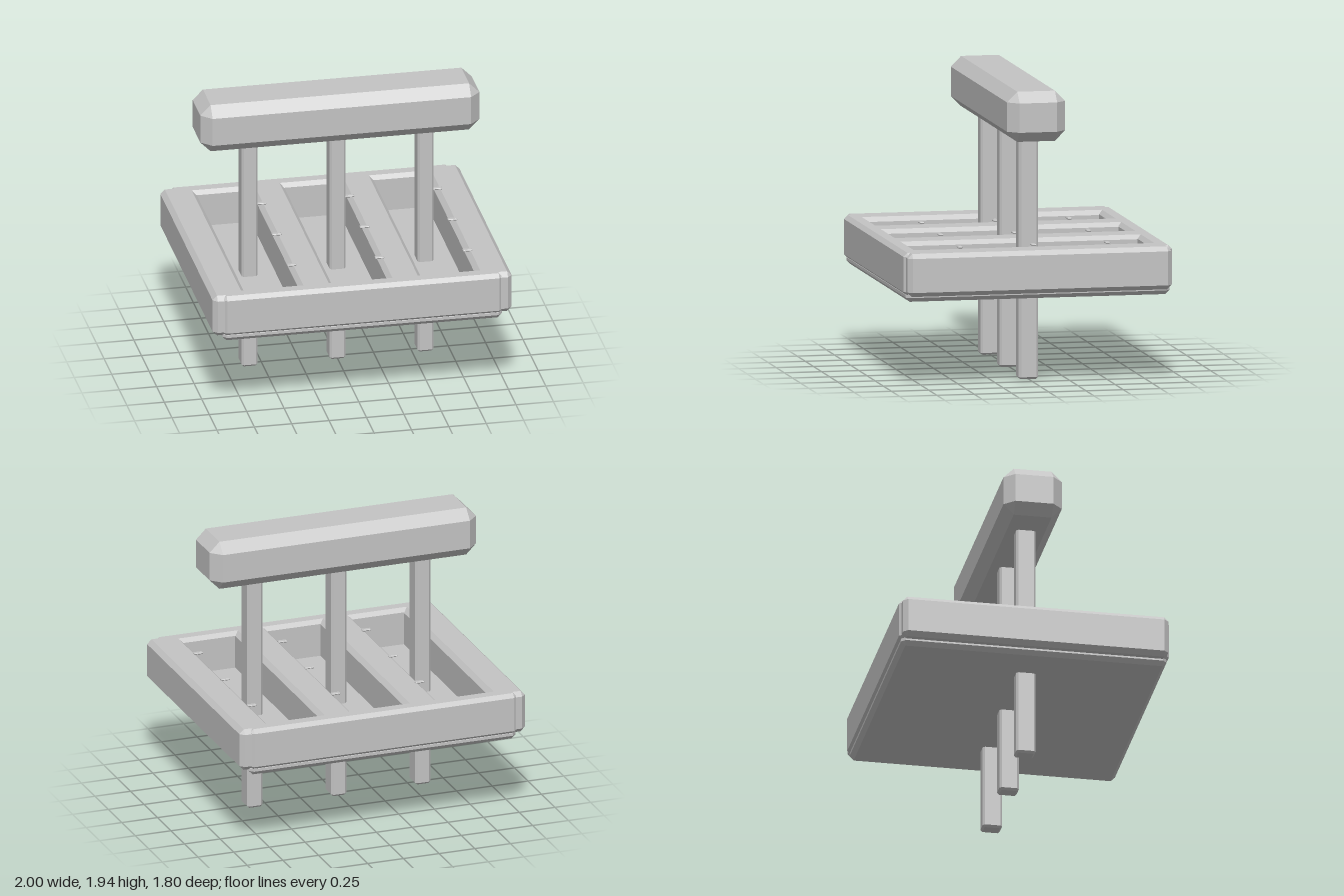
import * as THREE from 'three';
import { ConvexGeometry } from 'three/addons/geometries/ConvexGeometry.js';

const grey = new THREE.MeshStandardMaterial({ color: 0xc4c4c4 });
grey.name = 'plain grey';

// Box with every edge cut at 45 degrees, given as [min, max] on each axis
function chamferBox(name, [x0, x1], [y0, y1], [z0, z1], c) {
  const hx = (x1 - x0) / 2, hy = (y1 - y0) / 2, hz = (z1 - z0) / 2;
  const points = [];
  for (const sx of [-1, 1]) for (const sy of [-1, 1]) for (const sz of [-1, 1]) {
    points.push(
      new THREE.Vector3(sx * hx, sy * (hy - c), sz * (hz - c)),
      new THREE.Vector3(sx * (hx - c), sy * hy, sz * (hz - c)),
      new THREE.Vector3(sx * (hx - c), sy * (hy - c), sz * hz));
  }
  const mesh = new THREE.Mesh(new ConvexGeometry(points), grey);
  mesh.position.set((x0 + x1) / 2, (y0 + y1) / 2, (z0 + z1) / 2);
  mesh.name = name;
  return mesh;
}

export function createModel() {
  const model = new THREE.Group();
  model.name = 'leverPanel';
  const add = (...args) => model.add(chamferBox(...args));
  const height = [0.615, 0.9];

  // Tray floor
  add('floorPlate', [-0.935, 0.935], [0.575, 0.65], [-0.885, 0.885], 0.028);

  // Frame around the slots
  add('leftBar', [0.77, 1], height, [-0.885, 0.885], 0.03);
  add('rightBar', [-1, -0.77], height, [-0.885, 0.885], 0.03);
  add('frontBar', [-0.935, 0.935], height, [0.78, 0.9], 0.026);
  add('backBar', [-0.935, 0.935], height, [-0.9, -0.78], 0.026);

  // Dividers between the three slots
  for (const x of [-0.298, 0.298]) {
    add('divider', [x - 0.113, x + 0.113], height, [-0.86, 0.86], 0.028);
  }

  // Rods through the slots, with three small tabs beside each
  for (const x of [-0.588, 0, 0.588]) {
    add('rod', [x - 0.053, x + 0.053], [0, 1.68], [-0.065, 0.065], 0.014);
    for (const z of [-0.495, 0, 0.495]) {
      const cx = x + 0.19;
      add('slotTab', [cx - 0.031, cx + 0.031], [0.904, 0.916], [z - 0.015, z + 0.015], 0.004);
    }
  }

  // Handle joining the rods
  add('handle', [-0.933, 0.933], [1.605, 1.937], [-0.195, 0.195], 0.069);

  return model;
}
